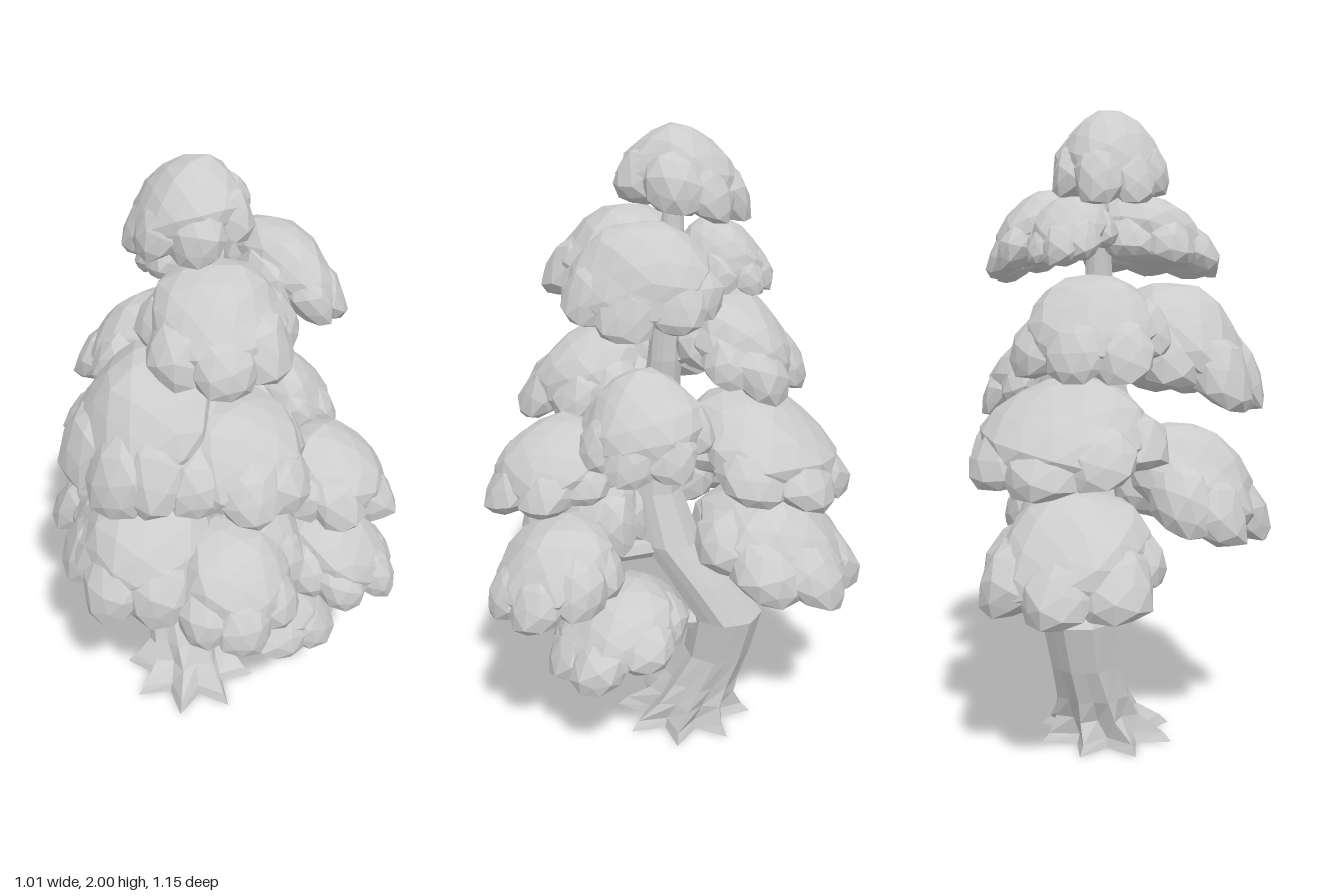
import * as THREE from 'three';
import { mergeGeometries } from 'three/addons/utils/BufferGeometryUtils.js';

const bark = new THREE.MeshStandardMaterial({ color: 0xcccccc });
bark.name = 'plain grey';

// trunk cross-sections: height, centre x, centre z, radius, root ridge amount
const TRUNK = [
  [0, -0.01, 0, 0.18, 0.26], [0.03, -0.01, 0, 0.16, 0.24], [0.09, 0.01, -0.03, 0.125, 0.14],
  [0.16, 0.01, -0.065, 0.115, 0.07], [0.27, 0.02, -0.115, 0.105, 0.04], [0.42, 0.03, -0.145, 0.114, 0.03],
  [0.55, 0.03, -0.055, 0.105, 0.03], [0.68, 0.02, 0.045, 0.1, 0.03], [0.85, 0, 0.09, 0.08, 0.03],
  [1, -0.01, 0.085, 0.068, 0.03], [1.3, 0.03, 0.055, 0.05, 0.03], [1.7, 0.03, 0.03, 0.036, 0],
  [1.86, 0.03, 0.02, 0.02, 0],
];

// foliage pads: name, x range, y range, z range, outward droop direction (x, z)
const PADS = [
  ['crownFoliage', -0.2, 0.17, 1.71, 2.0, -0.2, 0.21, -0.3, -0.5],
  ['upperFrontFoliage', -0.31, 0.17, 1.47, 1.75, -0.02, 0.44, -0.2, 0.6],
  ['upperLeftFoliage', 0.08, 0.41, 1.46, 1.76, -0.14, 0.33, 0.9, 0.1],
  ['upperBackFoliage', -0.08, 0.2, 1.53, 1.74, -0.27, 0.02, 0.2, -0.7],
  ['middleUpperBackFoliage', -0.27, 0.21, 1.19, 1.5, -0.38, 0.02, 0, -0.9],
  ['middleRightFoliage', -0.48, 0, 1.07, 1.47, -0.16, 0.35, -0.8, 0.2],
  ['middleFrontFoliage', -0.32, 0.17, 1.07, 1.36, 0.08, 0.53, -0.2, 0.7],
  ['middleLeftFoliage', 0.1, 0.44, 1.03, 1.33, -0.12, 0.28, 0.9, 0],
  ['middleBackFoliage', -0.29, 0.34, 0.86, 1.2, -0.53, 0.02, 0, -0.9],
  ['middleFrontLeftFoliage', 0.04, 0.46, 0.9, 1.17, 0.15, 0.57, 0.4, 0.6],
  ['lowerRightFoliage', -0.51, -0.01, 0.65, 1.03, -0.17, 0.36, -0.7, 0.2],
  ['lowerFrontRightFoliage', -0.32, 0.12, 0.61, 0.92, 0.12, 0.55, -0.2, 0.5],
  ['lowerFrontFoliage', -0.12, 0.22, 0.65, 0.96, 0.1, 0.44, 0.2, 0.3],
  ['lowerFrontLeftFoliage', 0.07, 0.5, 0.56, 0.84, 0.15, 0.57, 0.5, 0.5],
  ['lowerBackFoliage', -0.3, 0.28, 0.5, 0.86, -0.58, -0.02, 0, -0.9],
  ['lowestFoliage', -0.09, 0.41, 0.29, 0.57, -0.03, 0.42, 0.5, 0.6],
];

function seeded(seed) {
  let s = seed * 7919 + 17;
  return () => (s = (s * 16807) % 2147483647) / 2147483647;
}

// point on the trunk centre line at height y
function trunkAt(y) {
  let i = 0;
  while (i < TRUNK.length - 2 && TRUNK[i + 1][0] < y) i++;
  const [a, b] = [TRUNK[i], TRUNK[i + 1]];
  const t = (y - a[0]) / (b[0] - a[0]);
  return new THREE.Vector3(a[1] + (b[1] - a[1]) * t, y, a[2] + (b[2] - a[2]) * t);
}

function editVertices(geo, rule) {
  const p = geo.attributes.position, v = new THREE.Vector3();
  for (let i = 0; i < p.count; i++) {
    rule(v.fromBufferAttribute(p, i));
    p.setXYZ(i, v.x, v.y, v.z);
  }
  return geo;
}

// curved trunk whose base spreads into ridged roots around a hollow underside
function makeTrunk() {
  const rows = TRUNK.length - 1, sides = 16;
  const geo = editVertices(new THREE.CylinderGeometry(1, 1, rows, sides, rows), (v) => {
    const [y, cx, cz, r, ridge] = TRUNK[Math.round(v.y + rows / 2)];
    const k = Math.round(Math.atan2(v.x, v.z) / (2 * Math.PI / sides));
    const radius = r * (k % 2 === 0 ? 1 + ridge : 1 - ridge);
    const hollow = Math.hypot(v.x, v.z) < 0.5 && y === 0 ? 0.07 : 0;
    v.set(cx + v.x * radius, y + hollow, cz + v.z * radius);
  }).toNonIndexed();
  geo.computeVertexNormals();
  return geo;
}

// one faceted, slightly uneven lump
function lump(x, y, z, rx, ry, rz, detail, rand) {
  const phase = rand() * 6, up = new THREE.Vector3(0, 1, 0);
  return editVertices(new THREE.IcosahedronGeometry(1, detail), (v) => {
    const n = 1 + 0.05 * Math.sin(v.x * 5 + phase) * Math.cos(v.z * 4 - phase)
      + 0.04 * Math.sin(v.y * 6 + v.x * 3 + phase * 2);
    v.applyAxisAngle(up, phase);
    v.set(x + v.x * rx * n, y + v.y * ry * n, z + v.z * rz * n);
  });
}

// umbrella-shaped pad: a core with rim lumps, bent down and outward, fitted to its box
function makePad([, x0, x1, y0, y1, z0, z1, dx, dz], seed) {
  const rand = seeded(seed + 3);
  const parts = [lump(0, 0.03, 0, 0.84, 0.48, 0.84, 2, rand)];
  const rim = 7;
  for (let i = 0; i < rim; i++) {
    const a = (i + rand() * 0.4) / rim * Math.PI * 2, d = 0.55 + rand() * 0.06, s = 0.4 + rand() * 0.06;
    parts.push(lump(Math.cos(a) * d, -0.05 - rand() * 0.08, Math.sin(a) * d, s, s * 0.85, s, 1, rand));
  }
  const geo = mergeGeometries(parts);
  editVertices(geo, (v) => {
    if (v.y < -0.2) v.y = -0.2 + (v.y + 0.2) * 0.7;
    v.y -= 0.3 * (v.x * dx + v.z * dz) + 0.2 * (v.x * v.x + v.z * v.z);
  });
  geo.computeBoundingBox();
  const { min, max } = geo.boundingBox;
  const fit = (t, a, b, lo, hi) => lo + (t - a) / (b - a) * (hi - lo);
  editVertices(geo, (v) => v.set(
    fit(v.x, min.x, max.x, x0, x1), fit(v.y, min.y, max.y, y0, y1), fit(v.z, min.z, max.z, z0, z1)));
  geo.computeVertexNormals();
  return geo;
}

// tapered branch between two points
function makeBranch(from, to) {
  const dir = to.clone().sub(from);
  const geo = new THREE.CylinderGeometry(0.02, 0.036, dir.length(), 6).toNonIndexed();
  geo.computeVertexNormals();
  geo.applyQuaternion(new THREE.Quaternion().setFromUnitVectors(new THREE.Vector3(0, 1, 0), dir.normalize()));
  const mid = from.clone().add(to).multiplyScalar(0.5);
  return geo.translate(mid.x, mid.y, mid.z);
}

export function createModel() {
  const tree = new THREE.Group();
  tree.name = 'tree';
  const add = (name, geo) => {
    const mesh = new THREE.Mesh(geo, bark);
    mesh.name = name;
    tree.add(mesh);
  };

  add('trunk', makeTrunk());
  PADS.forEach((pad, i) => {
    const [name, x0, x1, y0, y1, z0, z1] = pad;
    add(name, makePad(pad, i));
    if (i === 0) return;
    const centre = new THREE.Vector3((x0 + x1) / 2, y0 + (y1 - y0) * 0.5, (z0 + z1) / 2);
    add(name.replace('Foliage', 'Branch'), makeBranch(trunkAt(y0 + (y1 - y0) * 0.35), centre));
  });
  return tree;
}
